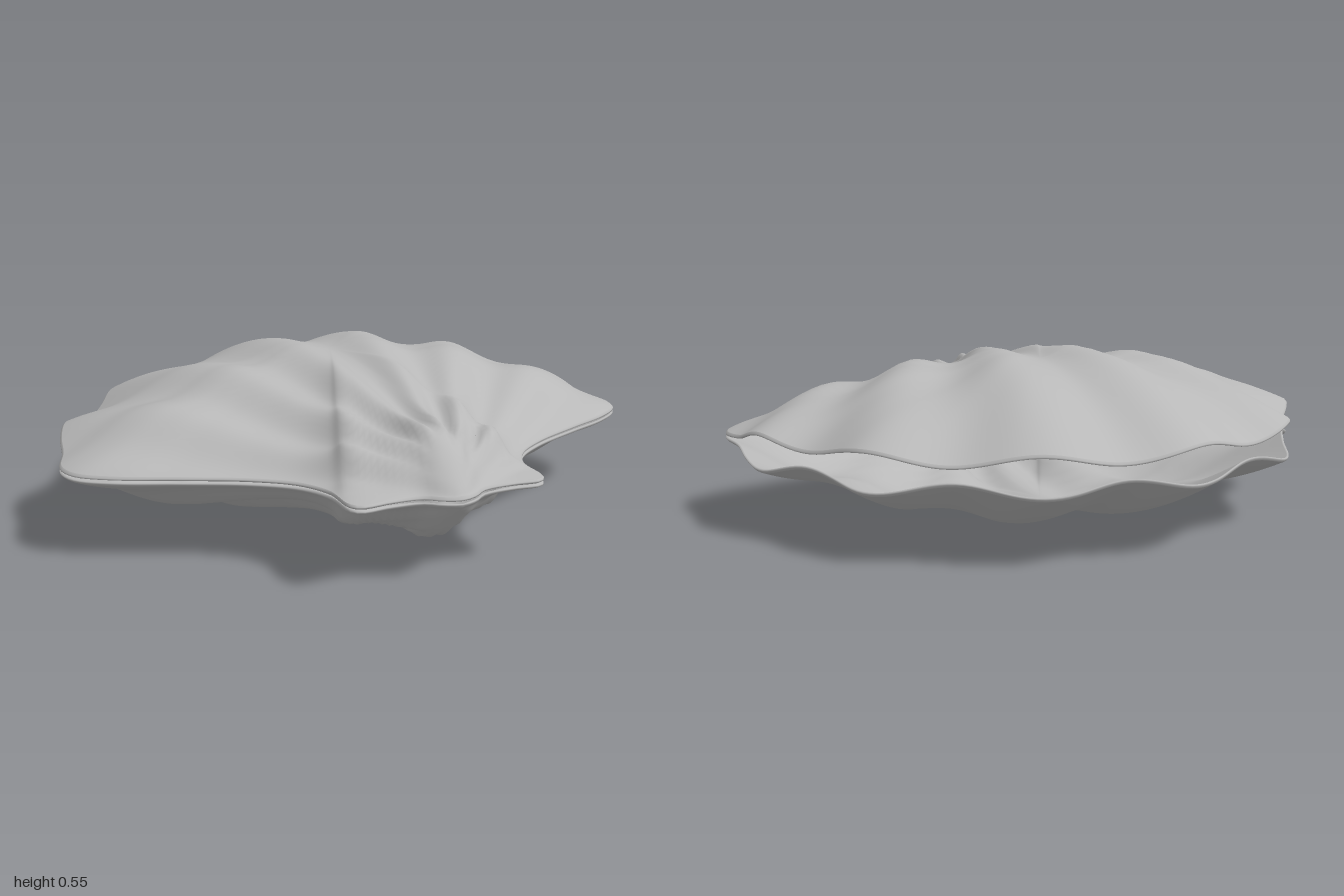
import * as THREE from 'three';
import { mergeVertices } from 'three/addons/utils/BufferGeometryUtils.js';

const MID = 0.28;         // height of the seam between the valves
const THICK = 0.012;      // shell wall
const CREST = -0.15;      // z of the highest point of the dome
const SEGMENTS = 256;

// Half outline (x, z), from the middle of the wide edge round to the hinge
const HALF = [
  [0, -0.835], [0.17, -0.842], [0.30, -0.80], [0.45, -0.72], [0.62, -0.645], [0.70, -0.57],
  [0.76, -0.45], [0.82, -0.35], [0.92, -0.22], [0.96, -0.10], [0.972, 0], [0.998, 0.12],
  [0.97, 0.205], [0.87, 0.28], [0.70, 0.355], [0.50, 0.45], [0.38, 0.54], [0.325, 0.64],
  [0.315, 0.76], [0.29, 0.787], [0.20, 0.782], [0.10, 0.79], [0.05, 0.825], [0, 0.84],
];

function makeOutline() {
  const mirrored = HALF.slice(1, -1).reverse().map(([x, z]) => [-x, z]);
  const points = [...HALF, ...mirrored].map(([x, z]) => new THREE.Vector3(x, 0, z));
  return new THREE.CatmullRomCurve3(points, true).getSpacedPoints(SEGMENTS).slice(0, SEGMENTS);
}

// Height of the outer face above the seam; t runs from 0 at the crest to 1 at the rim
function shellHeight(x, z, t) {
  const step = THREE.MathUtils.smoothstep;
  const fan = Math.atan2(Math.abs(x), Math.max(0.84 - z, 0.001));
  const reach = Math.hypot(x, z - 0.84);
  const open = 1 - step(z, -0.25, 0.15);          // the wide edge gapes open
  const lift = 0.034 * open;
  const ears = 1 - 0.75 * step(fan, 0.75, 1.1) * step(z, 0.2, 0.6);
  const dome = (0.25 - lift) * (1 - t * t) * ears;
  const umbo = 0.078 * (1 - t ** 16) * Math.exp(-((x / 0.14) ** 2) - ((z - 0.69) / 0.15) ** 2);
  const fade = step(reach, 0.02, 0.28) * (1 - step(fan, 0.95, 1.2)) * (1 - (1 - open) * t ** 6);
  const ribs = -0.018 * Math.cos((fan * Math.PI * 2) / 0.3) * fade;
  return Math.max(THICK + 0.001, THICK + lift + dome + umbo + ribs);
}

// Closed shell: outer face from crest to rim, then inner face back to the crest
function makeValve(outline, side) {
  const rows = [];
  for (let i = 0; i <= 40; i++) rows.push([0.994 * Math.sin((i / 40) * Math.PI / 2), 0]);
  rows.push([1, 0.3], [1, 0.7]);
  for (let i = 20; i >= 0; i--) rows.push([0.994 * Math.sin((i / 20) * Math.PI / 2), 1]);

  const positions = [];
  const indices = [];
  rows.forEach(([t, depth], r) => {
    outline.forEach((p, j) => {
      const x = p.x * t;
      const z = CREST + (p.z - CREST) * t;
      positions.push(x, MID + side * (shellHeight(x, z, t) - depth * THICK), z);
      if (r === rows.length - 1) return;
      const k = (j + 1) % SEGMENTS;
      const a = r * SEGMENTS + j, b = a + SEGMENTS;
      const d = r * SEGMENTS + k, c = d + SEGMENTS;
      if (side > 0) indices.push(a, c, b, a, d, c);
      else indices.push(a, b, c, a, c, d);
    });
  });
  let geometry = new THREE.BufferGeometry();
  geometry.setAttribute('position', new THREE.Float32BufferAttribute(positions, 3));
  geometry.setIndex(indices);
  geometry = mergeVertices(geometry, 1e-5);
  geometry.computeVertexNormals();
  return geometry;
}

export function createModel() {
  const shellGrey = new THREE.MeshStandardMaterial({ color: 0xb8b8b8 });
  shellGrey.name = 'shell grey';
  const outline = makeOutline();
  const group = new THREE.Group();
  group.name = 'scallopShell';
  for (const [name, side] of [['upperValve', 1], ['lowerValve', -1]]) {
    const valve = new THREE.Mesh(makeValve(outline, side), shellGrey);
    valve.name = name;
    group.add(valve);
  }
  return group;
}
